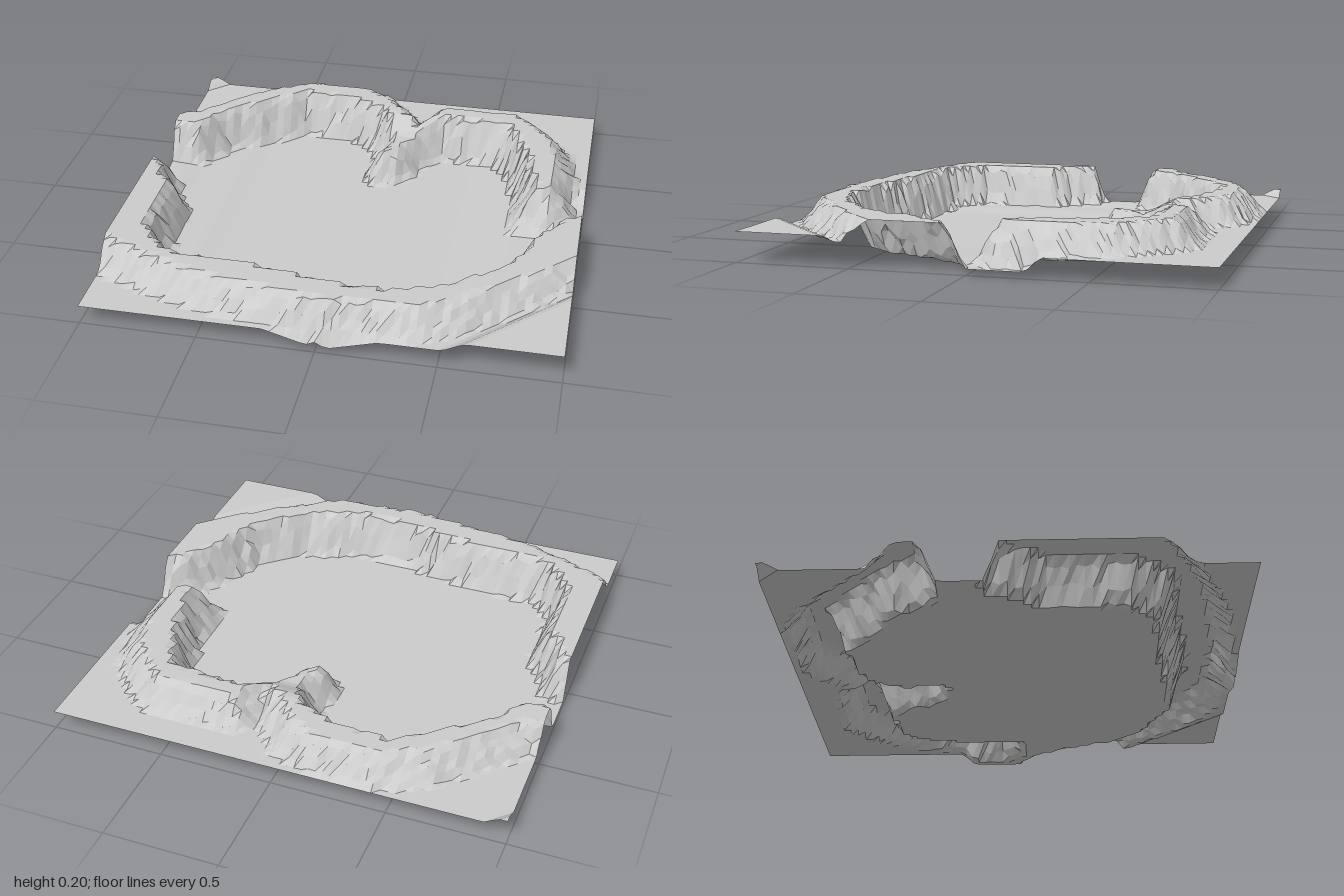
import * as THREE from 'three';

// Plan outlines as [x, z] points, drawn at mid-slope
const backRidge = [
  [-1.2, -0.42], [-0.95, -0.53], [-0.62, -0.85], [-0.42, -0.94], [-0.15, -0.93], [0, -0.87],
  [0.1, -0.75], [0.17, -0.66], [0.23, -0.8], [0.63, -0.81], [0.76, -0.7], [0.86, -0.57],
  [0.9, -0.4], [0.91, -0.1], [0.86, -0.04], [0.73, -0.04], [0.72, -0.2], [0.66, -0.45],
  [0.56, -0.61], [0.27, -0.63], [0.19, -0.53], [0.1, -0.36], [0, -0.33], [-0.03, -0.38],
  [0.02, -0.5], [-0.05, -0.66], [-0.2, -0.73], [-0.43, -0.75], [-0.62, -0.6], [-0.78, -0.48],
  [-0.86, -0.33], [-1.2, -0.3],
];
const frontRidge = [
  [-1.2, -0.06], [-0.93, -0.06], [-0.9, 0.06], [-0.82, 0.15], [-0.82, 0.5], [-0.7, 0.65],
  [-0.3, 0.68], [0, 0.74], [0.25, 0.75], [0.5, 0.66], [0.7, 0.5], [0.78, 0.3], [0.9, 0.1],
  [1.2, -0.08], [1.2, 0.32], [0.85, 0.62], [0.55, 0.85], [0.4, 0.93], [0, 0.96], [-0.4, 0.9],
  [-0.6, 0.86], [-0.85, 0.77], [-1.2, 0.6],
];
// Sunken area: runs under the ridges and out through the two side gaps
const basin = [
  [-1.2, -0.38], [-0.9, -0.45], [-0.65, -0.7], [-0.42, -0.84], [-0.1, -0.79], [0.07, -0.62],
  [0.15, -0.58], [0.24, -0.71], [0.6, -0.72], [0.78, -0.45], [0.83, -0.27], [1.2, -0.27],
  [1.2, 0.2], [0.9, 0.35], [0.6, 0.67], [0.3, 0.84], [-0.3, 0.79], [-0.8, 0.68], [-1.2, 0.4],
];

// Distance to an outline, positive inside
function inside(poly, x, z) {
  let best = Infinity, within = false;
  for (let i = 0, j = poly.length - 1; i < poly.length; j = i++) {
    const [ax, az] = poly[j], [bx, bz] = poly[i];
    const dx = bx - ax, dz = bz - az;
    const t = THREE.MathUtils.clamp(((x - ax) * dx + (z - az) * dz) / (dx * dx + dz * dz), 0, 1);
    best = Math.min(best, Math.hypot(x - ax - t * dx, z - az - t * dz));
    if ((az > z) !== (bz > z) && x < ax + (z - az) * dx / dz) within = !within;
  }
  return within ? best : -best;
}

// 0..1 slope of the given width centred on distance 0
const ramp = (d, width) => THREE.MathUtils.clamp(d / width + 0.5, 0, 1);
const { lerp, smoothstep } = THREE.MathUtils;

// Small repeatable roughness, -0.5..0.5
function rough(x, z) {
  const s = Math.sin(x * 127.1 + z * 311.7) * 43758.5453;
  return s - Math.floor(s) - 0.5;
}

function height(x, z) {
  const wobble = rough(x, z) * 0.018;

  // Outer ground, with a raised front corner, a raised back corner and a front dip
  let ground = 0.085 + 0.045 * smoothstep(x + z, 1.5, 1.62);
  ground += 0.035 * smoothstep(-x - z, 1.9, 1.97);
  if (z > 0.9) ground -= 0.07 * Math.max(0, 1 - Math.abs(x - 0.02) / 0.24);

  // Floor, rising slightly to both sides
  const floor = 0.014 * smoothstep(x, 0.38, 0.75) + 0.012 * smoothstep(-x, 0.55, 0.7)
    + 0.012 * smoothstep(Math.abs(x), 0.8, 0.95);
  const base = lerp(ground, floor, ramp(inside(basin, x, z), 0.06));

  // Flat-topped ridges; the spur in the middle of the back is lower
  const spur = smoothstep(z, -0.68, -0.52) * (Math.abs(x - 0.08) < 0.2 ? 1 : 0);
  const backTop = lerp(0.205, 0.145, spur);
  const outer = inside(basin, x, z) < 0;
  const width = outer ? 0.1 : 0.075;
  const tip = x > 0.65 && z > -0.2 ? 0.12 : width;
  const a = lerp(base, backTop, ramp(inside(backRidge, x, z) + wobble, tip));
  const b = lerp(base, 0.205, ramp(inside(frontRidge, x, z) + wobble, width));
  return Math.max(a, b);
}

export function createModel() {
  const group = new THREE.Group();
  group.name = 'craterTerrain';

  // Square sheet lifted by the height rule
  const geometry = new THREE.PlaneGeometry(2, 2, 64, 64).rotateX(-Math.PI / 2);
  const p = geometry.attributes.position;
  for (let i = 0; i < p.count; i++) p.setY(i, height(p.getX(i), p.getZ(i)));
  geometry.computeVertexNormals();

  const terrain = new THREE.Mesh(geometry, new THREE.MeshStandardMaterial({
    color: 0xcccccc, flatShading: true, side: THREE.DoubleSide,
  }));
  terrain.name = 'terrain';
  group.add(terrain);
  return group;
}
